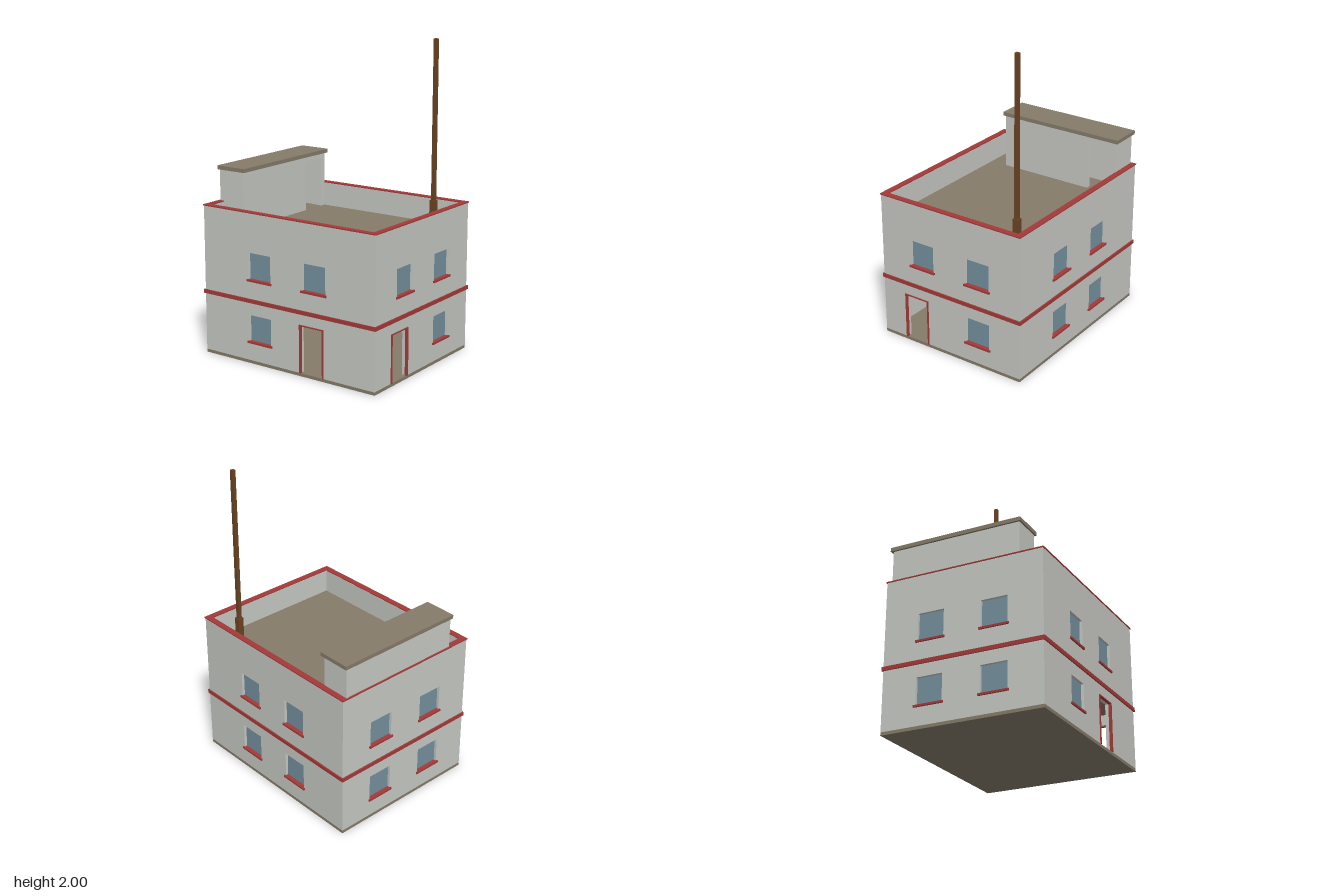
import * as THREE from 'three';

const mat = (name, color) => {
  const m = new THREE.MeshStandardMaterial({ color });
  m.name = name;
  return m;
};

export function createModel() {
  const plaster = mat('grey plaster', 0xc6c8c2);
  const concrete = mat('brown concrete', 0x857b69);
  const glass = mat('blue glass', 0x74909e);
  const red = mat('red trim', 0xa33a38);
  const wood = mat('brown wood', 0x6b4423);

  const HX = 0.65, HZ = 0.52, T = 0.035;      // half width, half depth, wall thickness
  const BASE = 0.02, ROOF = 0.81, TOP = 0.965;
  const model = new THREE.Group();
  model.name = 'house';

  // Box given by its minimum and maximum along each axis
  const box = (parent, name, material, [x0, x1], [y0, y1], [z0, z1]) => {
    const mesh = new THREE.Mesh(new THREE.BoxGeometry(x1 - x0, y1 - y0, z1 - z0), material);
    mesh.position.set((x0 + x1) / 2, (y0 + y1) / 2, (z0 + z1) / 2);
    mesh.name = name;
    parent.add(mesh);
    return mesh;
  };

  // Upright wall with its outer face on local z = 0, window holes and door notches
  const wall = (parent, name, u0, u1, y0, y1, windows, doors) => {
    const s = new THREE.Shape();
    s.moveTo(u0, y0);
    for (const d of doors) {
      s.lineTo(d.u - d.w / 2, y0);
      s.lineTo(d.u - d.w / 2, d.top);
      s.lineTo(d.u + d.w / 2, d.top);
      s.lineTo(d.u + d.w / 2, y0);
    }
    s.lineTo(u1, y0);
    s.lineTo(u1, y1);
    s.lineTo(u0, y1);
    s.closePath();
    for (const w of windows) {
      const h = new THREE.Path();
      h.moveTo(w.u - 0.086, w.y);
      h.lineTo(w.u - 0.086, w.y + 0.175);
      h.lineTo(w.u + 0.086, w.y + 0.175);
      h.lineTo(w.u + 0.086, w.y);
      h.closePath();
      s.holes.push(h);
    }
    const geo = new THREE.ExtrudeGeometry(s, { depth: T, bevelEnabled: false });
    geo.translate(0, 0, -T);
    const mesh = new THREE.Mesh(geo, plaster);
    mesh.name = name;
    parent.add(mesh);
  };

  // Rectangular ring of four bars around the house
  const ring = (name, ox, oz, width, y) => {
    const g = new THREE.Group();
    g.name = name;
    for (const s of [-1, 1]) {
      const span = (o) => (s > 0 ? [o - width, o] : [-o, -o + width]);
      box(g, 'longBar', red, [-ox, ox], y, span(oz));
      box(g, 'shortBar', red, span(ox), y, [-oz + width, oz - width]);
    }
    model.add(g);
  };

  // Floors and flat roof
  box(model, 'baseSlab', concrete, [-HX, HX], [0, BASE], [-HZ, HZ]);
  box(model, 'upperFloor', concrete, [-HX + T, HX - T], [0.39, 0.42], [-HZ + T, HZ - T]);
  box(model, 'roofDeck', concrete, [-HX + T, HX - T], [ROOF - 0.03, ROOF], [-HZ + T, HZ - T]);

  // Four facades, each with recessed panes, sills and an optional doorway
  const facades = [
    { name: 'frontFacade', angle: 0, dist: HZ, half: HX, door: 0.19 },
    { name: 'leftFacade', angle: Math.PI / 2, dist: HX, half: HZ - T, door: -0.26 },
    { name: 'backFacade', angle: Math.PI, dist: HZ, half: HX },
    { name: 'rightFacade', angle: -Math.PI / 2, dist: HX, half: HZ - T },
  ];
  for (const f of facades) {
    const g = new THREE.Group();
    g.name = f.name;
    g.rotation.y = f.angle;
    g.position.set(Math.sin(f.angle) * f.dist, 0, Math.cos(f.angle) * f.dist);
    model.add(g);

    const windows = [];
    for (const y of [0.14, 0.54]) {
      for (const u of [-0.208, 0.208]) {
        const blocked = f.door !== undefined && y < 0.3 && u * f.door > 0;
        if (!blocked) windows.push({ u, y });
      }
    }
    const doors = f.door === undefined ? [] : [{ u: f.door, w: 0.17, top: 0.323 }];
    wall(g, 'wall', -f.half, f.half, BASE, TOP, windows, doors);

    for (const { u, y } of windows) {
      box(g, 'windowPane', glass, [u - 0.086, u + 0.086], [y, y + 0.175], [-0.026, -0.018]);
      box(g, 'windowSill', red, [u - 0.096, u + 0.096], [y - 0.007, y + 0.006], [-0.018, 0.01]);
    }
    for (const { u, w, top } of doors) {
      for (const s of [-1, 1]) {
        const c = u + s * (w / 2 + 0.001);
        box(g, 'doorJamb', red, [c - 0.005, c + 0.005], [BASE, top + 0.005], [-0.012, 0.006]);
      }
      box(g, 'doorHead', red, [u - w / 2, u + w / 2], [top - 0.002, top + 0.005], [-0.012, 0.006]);
    }
  }

  // Red storey band and parapet coping
  ring('storeyBand', HX + 0.008, HZ + 0.008, 0.012, [0.395, 0.42]);
  ring('parapetCoping', HX + 0.005, HZ + 0.005, 0.039, [TOP, TOP + 0.007]);

  // Stair hut on the roof
  const hut = new THREE.Group();
  hut.name = 'stairHut';
  model.add(hut);
  const x0 = -0.645, x1 = -0.455, z0 = -0.488, z1 = 0.368, eaves = 1.172;
  const doorWall = new THREE.Group();
  doorWall.name = 'hutDoorWall';
  doorWall.rotation.y = Math.PI / 2;
  doorWall.position.x = x1;
  hut.add(doorWall);
  wall(doorWall, 'wall', -z1, -z0, ROOF, eaves, [], [{ u: 0.362, w: 0.17, top: 1.13 }]);
  box(hut, 'hutOuterWall', plaster, [x0, x0 + T], [ROOF, eaves], [z0, z1]);
  box(hut, 'hutFrontWall', plaster, [x0 + T, x1 - T], [ROOF, eaves], [z1 - T, z1]);
  box(hut, 'hutBackWall', plaster, [x0 + T, x1 - T], [ROOF, eaves], [z0, z0 + T]);
  box(hut, 'hutRoof', concrete, [-0.657, -0.44], [eaves, 1.197], [-0.503, 0.378]);

  // Mast in its square socket
  const px = 0.48, pz = -0.38;
  const post = (name, r, y) => box(model, name, wood, [px - r, px + r], y, [pz - r, pz + r]);
  post('mastSocket', 0.019, [ROOF, 0.985]);
  post('mast', 0.012, [0.985, 2]);

  return model;
}
